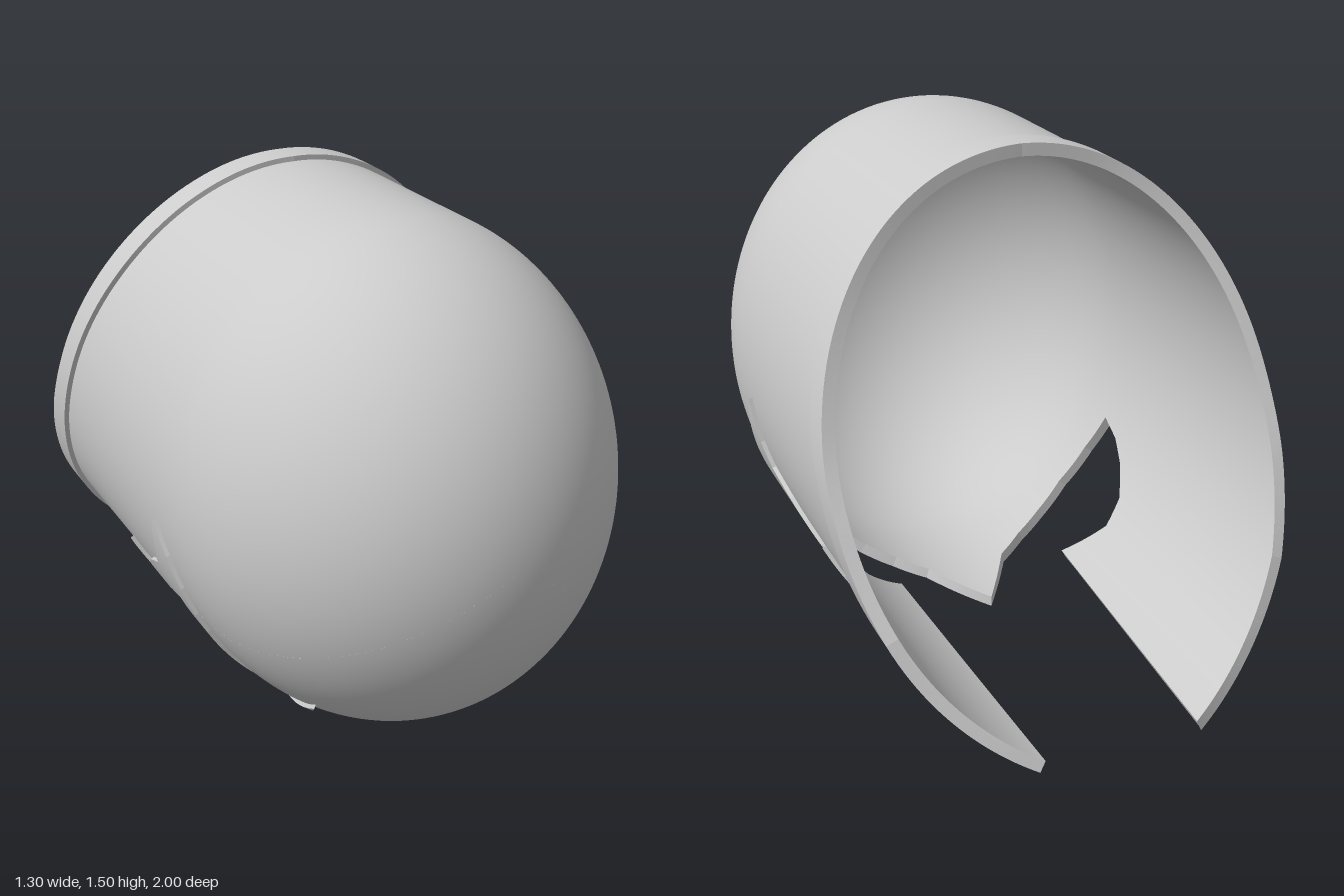
import * as THREE from 'three';

// Outer surface: an elliptical tube closed at the front by a half ellipsoid
const RX = 0.635, RY = 0.735, CY = 0.746, Z0 = 0.3, RZ = 0.7;
const POLE = Z0 + RZ * Math.PI / 2;
const WALL = 0.02, TRIM = 0.012, RIM = 0.015;

const material = new THREE.MeshStandardMaterial({ color: 0xcccccc, side: THREE.DoubleSide });

// Surface coordinates [angle from the bottom, distance along z or the dome arc]
const shrink = z => (z > Z0 ? Math.sqrt(1 - ((z - Z0) / RZ) ** 2) : 1);
const along = z => (z > Z0 ? Z0 + RZ * Math.asin((z - Z0) / RZ) : z);
const clamp = v => Math.max(-1, Math.min(1, v));
const side = (y, z) => [Math.acos(clamp((CY - y) / (RY * shrink(z)))), along(z)];
const under = (x, z) => [Math.asin(clamp(x / (RX * shrink(z)))), along(z)];

// Point and normal of the surface, lifted by an offset
function surface([phi, s], offset, mirror) {
  const a = s > Z0 ? (s - Z0) / RZ : 0, k = Math.cos(a);
  const x = RX * k * Math.sin(phi), y = -RY * k * Math.cos(phi);
  const z = s > Z0 ? Z0 + RZ * Math.sin(a) : s;
  const n = new THREE.Vector3(x / RX ** 2, y / RY ** 2, s > Z0 ? Math.sin(a) / RZ : 0).normalize();
  const p = new THREE.Vector3(x, CY + y, z).addScaledVector(n, offset);
  p.x *= mirror;
  n.x *= mirror;
  return { p, n };
}

// Edge curves as functions of t
function line(points) {
  return t => {
    const f = t * (points.length - 1), i = Math.min(Math.floor(f), points.length - 2), u = f - i;
    return [0, 1].map(c => points[i][c] * (1 - u) + points[i + 1][c] * u);
  };
}
function smooth(points) {
  const curve = new THREE.SplineCurve(points.map(p => new THREE.Vector2(...p)));
  return t => curve.getPoint(t).toArray();
}

// Curved slab between two edge curves
function slab(name, edgeA, edgeB, low, high, nu, nv, mirror) {
  const pos = [], nor = [];
  const tri = (a, b, c, flip) => {
    const face = new THREE.Vector3().crossVectors(b.p.clone().sub(a.p), c.p.clone().sub(a.p)).normalize();
    let order = [a, b, c];
    if (flip !== 0 && face.dot(a.n) * flip < 0) order = [a, c, b];
    for (const v of order) {
      pos.push(...v.p.toArray());
      nor.push(...(flip === 0 ? face : v.n.clone().multiplyScalar(flip)).toArray());
    }
  };
  const quad = (a, b, c, d, flip) => { tri(a, b, c, flip); tri(a, c, d, flip); };
  const grid = offset => Array.from({ length: nu + 1 }, (_, i) => {
    const a = edgeA(i / nu), b = edgeB(i / nu);
    return Array.from({ length: nv + 1 }, (_, j) =>
      surface([0, 1].map(c => a[c] + (b[c] - a[c]) * j / nv), offset, mirror));
  });
  const top = grid(high), bottom = grid(low);
  for (let i = 0; i < nu; i++) {
    for (let j = 0; j < nv; j++) {
      for (const [g, flip] of [[top, 1], [bottom, -1]]) {
        quad(g[i][j], g[i + 1][j], g[i + 1][j + 1], g[i][j + 1], flip);
      }
    }
    for (const j of [0, nv]) quad(top[i][j], top[i + 1][j], bottom[i + 1][j], bottom[i][j], 0);
  }
  for (let j = 0; j < nv; j++) {
    for (const i of [0, nu]) quad(top[i][j], top[i][j + 1], bottom[i][j + 1], bottom[i][j], 0);
  }
  const geometry = new THREE.BufferGeometry();
  geometry.setAttribute('position', new THREE.Float32BufferAttribute(pos, 3));
  geometry.setAttribute('normal', new THREE.Float32BufferAttribute(nor, 3));
  const mesh = new THREE.Mesh(geometry, material);
  mesh.name = name;
  return mesh;
}

export function createModel() {
  const group = new THREE.Group();
  group.name = 'helmet';

  // Slanted rear edge and the front border of its rim
  const rearLow = line([side(0.06, -1), side(0.4, -0.814)]);
  const rearHigh = smooth([[0.4, -0.814], [0.62, -0.69], [0.87, -0.555], [1.2, -0.42], [1.4, -0.35], [1.481, -0.325]]
    .map(p => side(...p)));
  const rimLow = line([side(0.07, -0.88), side(0.4, -0.7)]);
  const rimHigh = smooth([[0.4, -0.7], [0.62, -0.58], [0.87, -0.46], [1.2, -0.322], [1.4, -0.255], [1.481, -0.23]]
    .map(p => side(...p)));

  // Side opening: chin edge from the centre point upward, and rear edge upward
  const chin = [under(0, -0.14), under(0.07, -0.03), under(0.13, 0.07), under(0.22, 0.13), under(0.31, 0.17),
    side(0.18, 0.205), side(0.29, 0.203), side(0.4, 0.18)];
  const cheek = [side(0.085, -0.075), side(0.18, -0.135), side(0.25, -0.1), side(0.32, -0.01),
    side(0.37, 0.08), side(0.4, 0.18)];
  const toPole = edge => t => [edge(t)[0], POLE];

  // Raised trim outline
  const wingTip = side(0.215, 0.59), notch = side(0.1, 0.3);
  const browTip = side(0.675, 0.18), browBase = side(0.48, 0.1);
  const finBase = side(0.26, -0.2), finTip = side(0.38, -0.245), finRear = side(0.23, -0.31);

  for (const m of [1, -1]) {
    const add = (name, a, b, low, high, nu, nv) =>
      group.add(slab((m > 0 ? 'left' : 'right') + name, a, b, low, high, nu, nv, m));
    const trim = (name, a, b) =>
      add(name, line(a), line(b), -0.002, TRIM, (a.length - 1) * 8, 10);

    // Shell
    add('ShellFront', line(chin), toPole(line(chin)), -WALL, 0, 56, 48);
    add('ShellCheek', rearLow, line(cheek), -WALL, 0, 40, 24);
    add('ShellCrown', rearHigh, toPole(rearHigh), -WALL, 0, 80, 56);

    // Rim along the rear edge
    add('RimLower', rearLow, rimLow, -0.002, RIM, 20, 4);
    add('RimUpper', rearHigh, rimHigh, -0.002, RIM, 80, 4);

    // Trim around the opening
    trim('ChinWing', [...chin.slice(0, 4), notch, wingTip],
      [under(0, 0.16), under(0.08, 0.2), under(0.15, 0.26), under(0.21, 0.34), under(0.28, 0.45), wingTip]);
    trim('FrontTrim', chin.slice(3),
      [notch, side(0.18, 0.302), side(0.28, 0.3), side(0.34, 0.297), side(0.4, 0.29)]);
    trim('BrowSpike', [side(0.4, 0.29), side(0.48, 0.272), side(0.57, 0.238), browTip],
      [side(0.4, 0.18), browBase, side(0.55, 0.14), browTip]);
    trim('BrowTrim', cheek.slice(1).reverse(),
      [browBase, side(0.43, -0.01), side(0.38, -0.08), side(0.33, -0.14), finBase]);
    trim('CheekFin', [finBase, side(0.32, -0.225), finTip],
      [finRear, side(0.3, -0.285), finTip]);
    trim('CheekTrim', [finBase, finRear, side(0.14, -0.335), side(0.12, -0.865)],
      [cheek[1], cheek[0], side(0.08, -0.3), side(0.066, -0.9)]);
  }
  return group;
}
